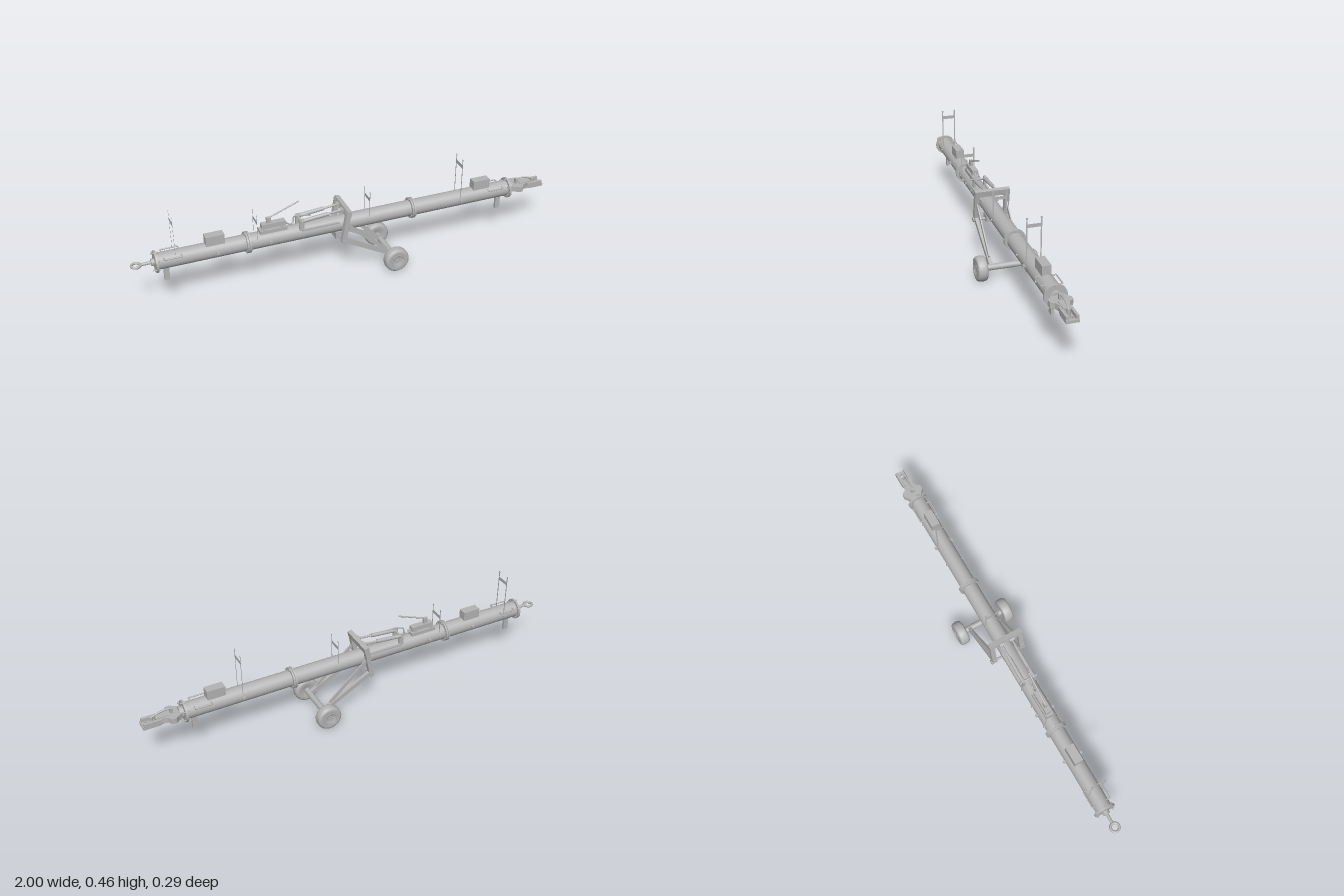
import * as THREE from 'three';

export function createModel() {
  const model = new THREE.Group();
  const grey = new THREE.MeshStandardMaterial({ color: 0xb4b4b4 });
  grey.name = 'grey steel';
  grey.side = THREE.DoubleSide;
  const AXIS = 0.24; // height of the main tube's centre line
  const V = (x, y, z) => new THREE.Vector3(x, y, z);

  const add = (name, geometry, x = 0, y = 0, z = 0) => {
    const mesh = new THREE.Mesh(geometry, grey);
    mesh.name = name;
    mesh.position.set(x, y, z);
    model.add(mesh);
    return mesh;
  };
  const box = (name, x0, x1, y0, y1, z0, z1) =>
    add(name, new THREE.BoxGeometry(x1 - x0, y1 - y0, z1 - z0), (x0 + x1) / 2, (y0 + y1) / 2, (z0 + z1) / 2);
  // round rod between two points
  const rod = (name, a, b, r, seg = 16) => {
    const m = add(name, new THREE.CylinderGeometry(r, r, a.distanceTo(b), seg));
    m.position.copy(a).add(b).multiplyScalar(0.5);
    m.quaternion.setFromUnitVectors(V(0, 1, 0), b.clone().sub(a).normalize());
    return m;
  };
  // square beam lying in a plane of constant z
  const beam = (name, x0, y0, x1, y1, z, w, depth) => {
    const m = add(name, new THREE.BoxGeometry(Math.hypot(x1 - x0, y1 - y0), w, depth), (x0 + x1) / 2, (y0 + y1) / 2, z);
    m.rotation.z = Math.atan2(y1 - y0, x1 - x0);
    return m;
  };
  // flat outline in x/z, extruded upward
  const flatPlate = (name, points, y, h, holes = []) => {
    const s = new THREE.Shape(points.map(p => new THREE.Vector2(...p)));
    for (const [x, z, r] of holes) s.holes.push(new THREE.Path().absarc(x, z, r, 0, Math.PI * 2, true));
    const g = new THREE.ExtrudeGeometry(s, { depth: h, bevelEnabled: false });
    g.rotateX(-Math.PI / 2);
    return add(name, g, 0, y, 0);
  };

  // main tube and its flanges
  rod('mainTube', V(-0.89, AXIS, 0), V(0.815, AXIS, 0), 0.0375, 40);
  const flange = (x, t) => rod('flange', V(x - t / 2, AXIS, 0), V(x + t / 2, AXIS, 0), 0.049, 40);
  for (const [x, double] of [[-0.89, false], [-0.483, true], [0.308, true], [0.812, false]]) {
    if (double) { flange(x - 0.005, 0.008); flange(x + 0.005, 0.008); }
    else flange(x, 0.01);
    for (let i = 0; i < 6; i++) {
      const a = (i + 0.5) * Math.PI / 3;
      const y = AXIS + Math.sin(a) * 0.043, z = Math.cos(a) * 0.043;
      rod('flangeBolt', V(x - 0.013, y, z), V(x + 0.013, y, z), 0.0035, 6);
    }
  }

  // support feet, storage boxes
  for (const x of [-0.848, 0.77]) box('supportFoot', x - 0.012, x + 0.012, 0.138, 0.21, -0.006, 0.006);
  for (const x of [-0.628, 0.667]) box('storageBox', x - 0.042, x + 0.042, 0.268, 0.317, -0.02, 0.02);

  for (const s of [-1, 1]) {
    // side grab handles
    for (const x of [-0.82, 0.735]) {
      rod('grabHandle', V(x - 0.038, 0.266, s * 0.044), V(x + 0.038, 0.266, s * 0.044), 0.003, 8);
      for (const e of [-0.038, 0.038])
        rod('grabHandleEnd', V(x + e, 0.266, s * 0.025), V(x + e, 0.266, s * 0.044), 0.003, 8);
    }
    // side studs
    for (const x of [-0.81, -0.625, -0.445, -0.34, -0.25, 0.09, 0.45, 0.555, 0.69])
      rod('sideStud', V(x, 0.242, s * 0.034), V(x, 0.242, s * 0.042), 0.005, 8);
    for (const x of [-0.625, -0.385, 0.552])
      box('sideLug', x - 0.006, x + 0.006, 0.237, 0.247, s > 0 ? 0.03 : -0.047, s > 0 ? 0.047 : -0.03);
  }

  // thin marker frames standing across the tube
  for (const [x, top, barY] of [[-0.808, 0.453, 0.42], [-0.442, 0.38, 0.344], [0.09, 0.38, 0.344], [0.552, 0.453, 0.42]]) {
    const panel = (name, w, h, y, z) => {
      const m = add(name, new THREE.PlaneGeometry(w, h), x, y, z);
      m.rotation.y = Math.PI / 2;
    };
    panel('markerCrossbar', 0.058, 0.016, barY, 0);
    for (const z of [-0.031, 0.031]) {
      panel('markerPost', 0.006, top - 0.255, (top + 0.255) / 2, z);
      add('markerKnob', new THREE.CircleGeometry(0.005, 16), x, top, z).rotation.y = Math.PI / 2;
    }
  }

  // swinging axle frame
  const arm = [-0.03, 0.328, -0.054, 0.19];
  for (const s of [-1, 1]) {
    beam('upperArm', ...arm, s * 0.071, 0.022, 0.022);
    beam('axleLeg', -0.056, 0.194, 0.187, 0.06, s * 0.071, 0.02, 0.016);
    beam('legBrace', -0.036, 0.265, 0.155, 0.092, s * 0.07, 0.016, 0.006);
    rod('pivotCap', V(-0.052, 0.185, s * 0.06), V(-0.052, 0.185, s * 0.086), 0.011, 16);
  }
  const header = box('frameHeader', -0.04, -0.018, 0.308, 0.336, -0.082, 0.082);
  header.rotation.z = -0.17;
  rod('pivotBar', V(-0.052, 0.185, -0.08), V(-0.052, 0.185, 0.08), 0.006);
  box('pivotBlock', -0.075, -0.03, 0.174, 0.208, -0.028, 0.028);
  rod('axle', V(0.187, 0.058, -0.1), V(0.187, 0.058, 0.1), 0.014, 24);

  // wheels: tyre with rounded shoulders, recessed rim and hub
  const profile = [[0, -0.016], [0.013, -0.016], [0.014, -0.019], [0.027, -0.019], [0.029, -0.023], [0.045, -0.0235],
    [0.052, -0.0215], [0.0565, -0.016], [0.058, -0.008]];
  const full = [...profile, ...profile.map(([r, h]) => [r, -h]).reverse()];
  for (const s of [-1, 1]) {
    const wheel = add('wheel', new THREE.LatheGeometry(full.map(p => new THREE.Vector2(...p)), 40), 0.187, 0.058, s * 0.119);
    wheel.rotation.x = Math.PI / 2;
    rod('hubCap', V(0.187, 0.058, s * 0.119), V(0.187, 0.058, s * 0.139), 0.012, 20);
    const rim = add('rimRing', new THREE.TorusGeometry(0.029, 0.0025, 8, 32), 0.187, 0.058, s * 0.142);
    rim.scale.z = 0.6;
  }

  // lifting cylinders between tube and frame header
  for (const s of [-1, 1]) {
    const z = s * 0.026;
    rod('liftCylinder', V(-0.235, 0.305, z), V(-0.11, 0.316, z), 0.009);
    rod('liftPiston', V(-0.11, 0.316, z), V(-0.035, 0.323, z), 0.005);
    box('cylinderMount', -0.247, -0.225, 0.255, 0.315, z - 0.006, z + 0.006);
    box('tubeRail', -0.235, -0.06, 0.259, 0.266, s * 0.034 - 0.005, s * 0.034 + 0.005);
    rod('headerPin', V(-0.043, 0.322, z - 0.012), V(-0.043, 0.322, z + 0.012), 0.008);
  }
  rod('cylinderPin', V(-0.236, 0.303, -0.042), V(-0.236, 0.303, 0.042), 0.005);

  // hand pump with lever and hose
  box('pumpBase', -0.425, -0.3, 0.274, 0.291, -0.02, 0.02);
  box('pumpBody', -0.415, -0.305, 0.296, 0.318, -0.014, 0.014);
  for (const x of [-0.405, -0.32]) box('pumpFoot', x - 0.008, x + 0.008, 0.29, 0.297, -0.016, 0.016);
  box('leverBracket', -0.39, -0.37, 0.316, 0.345, -0.007, 0.007);
  rod('pumpLever', V(-0.385, 0.34, 0), V(-0.237, 0.396, 0), 0.0035, 10);
  const hose = new THREE.CatmullRomCurve3([V(-0.305, 0.305, 0), V(-0.285, 0.288, 0), V(-0.268, 0.295, 0),
    V(-0.262, 0.322, 0), V(-0.235, 0.328, 0.01), V(-0.19, 0.322, 0.02)]);
  add('pumpHose', new THREE.TubeGeometry(hose, 32, 0.0035, 8));

  // towing eye
  const eye = add('towingEye', new THREE.TorusGeometry(0.019, 0.006, 12, 32), -0.975, AXIS, 0);
  eye.rotation.x = Math.PI / 2;
  rod('eyeShank', V(-0.952, AXIS, 0), V(-0.89, AXIS, 0), 0.007);
  rod('eyeCollar', V(-0.91, AXIS, 0), V(-0.89, AXIS, 0), 0.016, 24);

  // hitch head: bolster, neck and forked jaw
  rod('hitchCollar', V(0.815, AXIS, 0), V(0.835, AXIS, 0), 0.026, 24);
  flatPlate('hitchBolster', [[0.825, -0.025], [0.845, -0.036], [0.86, -0.049], [0.88, -0.047], [0.89, -0.03],
    [0.915, -0.02], [0.915, 0.02], [0.89, 0.03], [0.88, 0.047], [0.86, 0.049], [0.845, 0.036], [0.825, 0.025]], 0.228, 0.026);
  flatPlate('hitchLowerJaw', [[0.9, -0.018], [0.93, -0.027], [1, -0.027], [1, 0.027], [0.93, 0.027], [0.9, 0.018]],
    0.224, 0.012, [[0.975, 0, 0.011]]);
  for (const s of [-1, 1]) {
    const z = s * 0.021;
    box('hitchJawSide', 0.915, 0.995, 0.234, 0.252, z - 0.006, z + 0.006);
  }
  box('hitchNeck', 0.88, 0.94, 0.23, 0.257, -0.017, 0.017);
  rod('hitchPin', V(0.955, 0.226, 0), V(0.955, 0.262, 0), 0.008);
  box('releaseBracket', 0.86, 0.872, 0.25, 0.278, -0.008, 0.008);
  const release = new THREE.CatmullRomCurve3([V(0.86, 0.274, 0), V(0.9, 0.276, 0), V(0.935, 0.268, 0), V(0.955, 0.258, 0)]);
  add('releaseHandle', new THREE.TubeGeometry(release, 16, 0.004, 8));

  return model;
}
